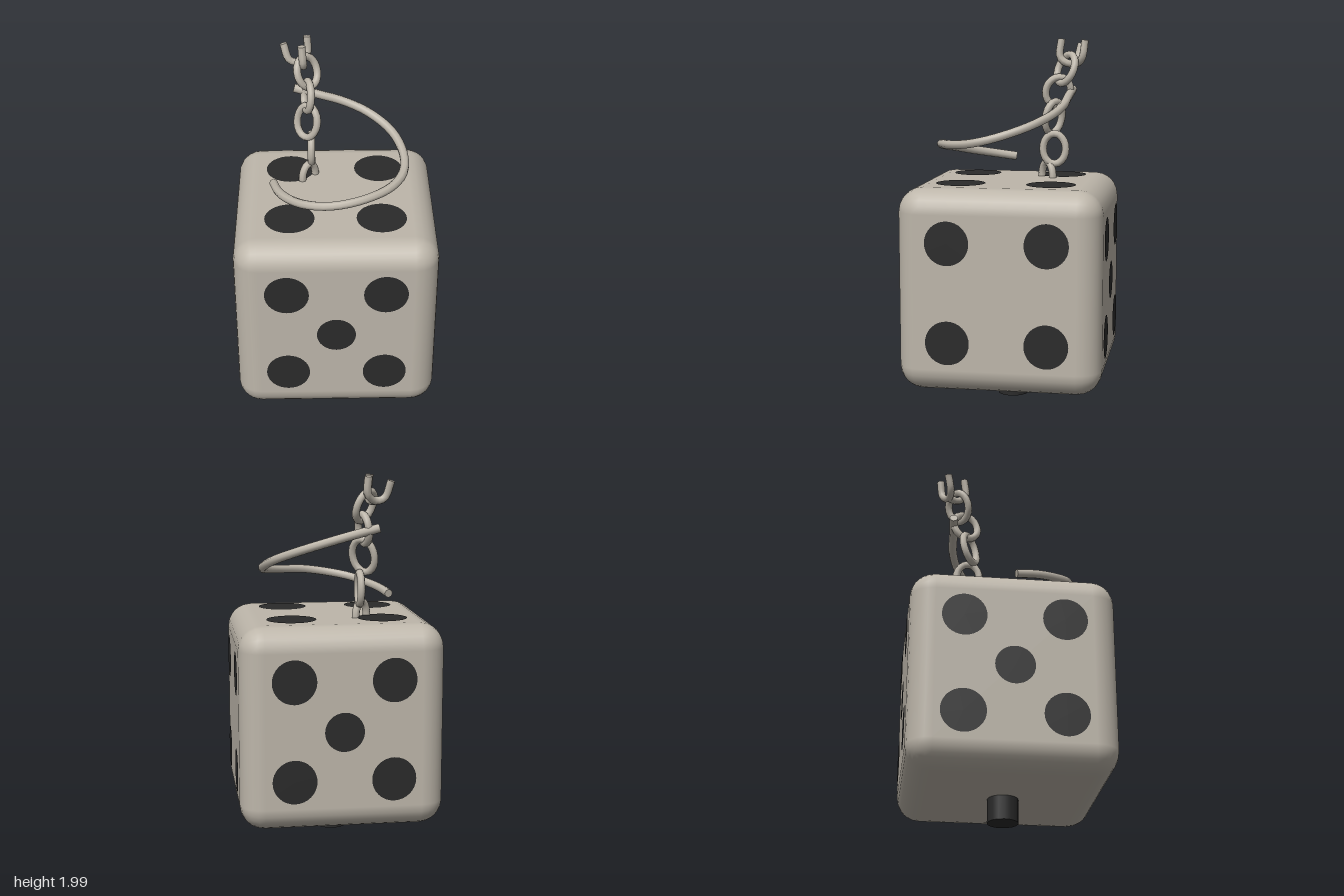
import * as THREE from 'three';
import { RoundedBoxGeometry } from 'three/addons/geometries/RoundedBoxGeometry.js';

const V = (a) => new THREE.Vector3(...a);

export function createModel() {
  const model = new THREE.Group();
  model.name = 'diceOrnament';
  const ivory = new THREE.MeshStandardMaterial({ color: 0xbdb6aa });
  ivory.name = 'ivory';
  const black = new THREE.MeshStandardMaterial({ color: 0x2a2a2a });
  black.name = 'black';

  const add = (parent, name, geo, mat) => {
    const m = new THREE.Mesh(geo, mat);
    m.name = name;
    parent.add(m);
    return m;
  };

  // Cube standing on its peg, one vertical edge to the front
  const size = 1.09, half = size / 2;
  const die = new THREE.Group();
  die.name = 'die';
  die.position.y = 0.675;
  die.rotation.y = Math.PI / 4;
  model.add(die);
  add(die, 'dieBody', new RoundedBoxGeometry(size, size, size, 3, 0.13), ivory);

  // Spots: each face is a turned group whose local +z is the face normal
  const makeFace = (name, rx, ry, centre, d, dy, r) => {
    const face = new THREE.Group();
    face.name = name;
    face.rotation.set(rx, ry, 0);
    die.add(face);
    const spot = (x, y, rad) =>
      add(face, 'spot', new THREE.CircleGeometry(rad, 32), black).position.set(x, y, half + 0.004);
    for (const sx of [-1, 1]) for (const sy of [-1, 1]) spot(sx * d, sy * dy, r);
    if (centre) spot(0, -0.005, 0.105);
  };
  // Local +z becomes +x+z after the turn, +x becomes +x-z
  makeFace('frontLeftFace', 0, 0, true, 0.263, 0.266, 0.118);
  makeFace('backLeftFace', 0, Math.PI / 2, false, 0.263, 0.266, 0.118);
  makeFace('backRightFace', 0, Math.PI, true, 0.263, 0.266, 0.118);
  makeFace('frontRightFace', 0, -Math.PI / 2, true, 0.263, 0.266, 0.118);
  makeFace('topFace', -Math.PI / 2, 0, false, 0.246, 0.246, 0.134);

  // Peg below
  add(model, 'peg', new THREE.CylinderGeometry(0.084, 0.084, 0.16, 16), black).position.y = 0.08;

  // Open wire with flat end caps
  const wire = (parent, name, pts, r, segs) => {
    const curve = new THREE.CatmullRomCurve3(pts.map(V));
    add(parent, name, new THREE.TubeGeometry(curve, segs, r, 8), ivory);
    for (const t of [0, 1]) {
      const cap = add(parent, name + 'End', new THREE.CircleGeometry(r, 8), ivory);
      const p = curve.getPointAt(t);
      const out = curve.getTangentAt(t).multiplyScalar(t ? 1 : -1);
      cap.position.copy(p);
      cap.lookAt(p.clone().add(out));
    }
  };

  // Rising open loop
  wire(model, 'wireLoop', [
    [-0.21, 1.315, 0.26], [-0.11, 1.333, 0.32], [0, 1.352, 0.352], [0.13, 1.378, 0.355],
    [0.25, 1.4, 0.305], [0.35, 1.422, 0.19], [0.395, 1.433, 0], [0.365, 1.45, -0.14],
    [0.28, 1.482, -0.24], [0.13, 1.535, -0.31], [-0.04, 1.592, -0.3], [-0.17, 1.638, -0.235],
    [-0.26, 1.672, -0.155], [-0.37, 1.71, -0.06],
  ], 0.024, 44);

  // Chain links: centre, side axis, long axis, half width, half length
  const chain = new THREE.Group();
  chain.name = 'chain';
  model.add(chain);
  const links = [
    [[-0.222, 1.22, -0.02], [0, 0, 1], [0, 1, 0], 0.05, 0.085],
    [[-0.24, 1.38, -0.06], [0.7, 0, 0.7], [0, 1, 0], 0.064, 0.085],
    [[-0.25, 1.555, -0.04], [1, 0, -0.15], [0, 1, -0.2], 0.066, 0.092],
    [[-0.265, 1.7, -0.06], [0.85, 0, 0.5], [0, 1, -0.15], 0.07, 0.08],
    [[-0.295, 1.825, -0.09], [0, 0, 1], [-0.36, 0.93, 0], 0.07, 0.085],
  ];
  for (const [c, side, along, w, l] of links) {
    const s = V(side).normalize(), a = V(along).normalize(), pts = [];
    for (let i = 0; i < 10; i++) {
      const t = (i / 10) * Math.PI * 2;
      pts.push(V(c).addScaledVector(s, w * Math.cos(t)).addScaledVector(a, l * Math.sin(t)));
    }
    const curve = new THREE.CatmullRomCurve3(pts, true);
    add(chain, 'chainLink', new THREE.TubeGeometry(curve, 20, 0.021, 8, true), ivory);
  }

  // Broken top links
  wire(chain, 'brokenLink', [
    [-0.435, 1.96, -0.05], [-0.4, 1.87, -0.06], [-0.37, 1.855, -0.1],
    [-0.36, 1.89, -0.155], [-0.37, 1.985, -0.165],
  ], 0.021, 14);
  wire(chain, 'brokenHook', [
    [-0.295, 1.99, -0.05], [-0.285, 1.89, -0.05], [-0.315, 1.855, -0.08], [-0.37, 1.855, -0.1],
  ], 0.021, 10);

  return model;
}
